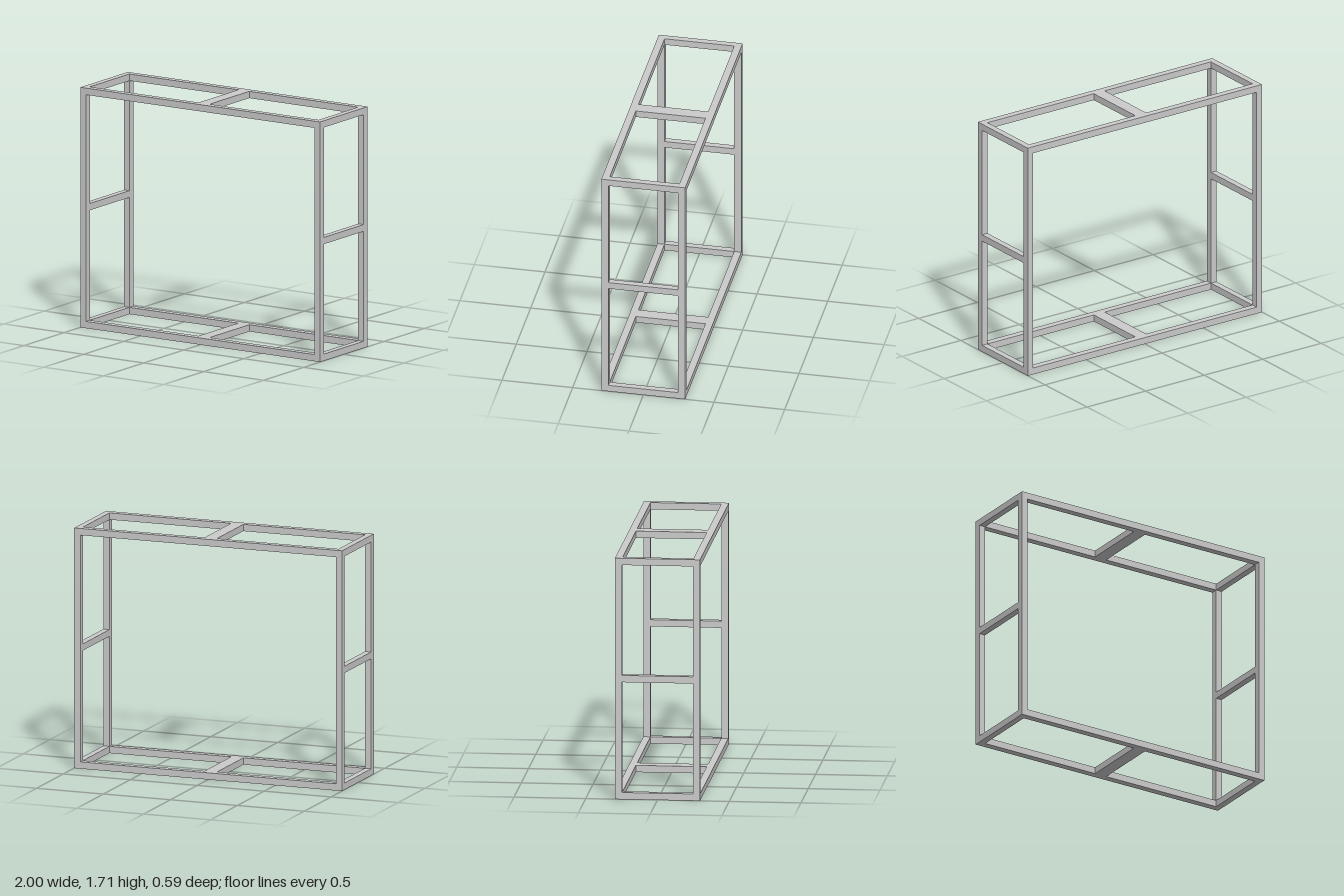
import * as THREE from 'three';

const W = 2, H = 1.705, D = 0.593;      // overall size
const TX = 0.046, TY = 0.048, TZ = 0.05; // bar thickness along each axis

export function createModel() {
  const model = new THREE.Group();
  model.name = 'openFrame';
  const material = new THREE.MeshStandardMaterial({ color: 0xcccccc, flatShading: true });

  const bar = (name, size, position) => {
    const mesh = new THREE.Mesh(new THREE.BoxGeometry(...size), material);
    mesh.name = name;
    mesh.position.set(...position);
    model.add(mesh);
  };

  const px = (W - TX) / 2, pz = (D - TZ) / 2;
  const innerW = W - 2 * TX, innerD = D - 2 * TZ;

  // Four corner posts
  for (const sx of [-1, 1]) {
    for (const sz of [-1, 1]) {
      bar(`${sz > 0 ? 'front' : 'back'}${sx > 0 ? 'Left' : 'Right'}Post`, [TX, H, TZ], [sx * px, H / 2, sz * pz]);
    }
  }

  // Bottom and top rings: long rails and a wide centre crossbar
  for (const [level, y] of [['bottom', TY / 2], ['top', H - TY / 2]]) {
    for (const sz of [-1, 1]) {
      bar(`${level}${sz > 0 ? 'Front' : 'Back'}Rail`, [innerW, TY, TZ], [0, y, sz * pz]);
    }
    bar(`${level}CentreCrossbar`, [2 * TX, TY, innerD], [0, y, 0]);
  }

  // Side rails: bottom, middle and top on each end
  for (const sx of [-1, 1]) {
    for (const [level, y] of [['Bottom', TY / 2], ['Middle', H / 2], ['Top', H - TY / 2]]) {
      bar(`${sx > 0 ? 'left' : 'right'}${level}Rail`, [TX, TY, innerD], [sx * px, y, 0]);
    }
  }

  return model;
}
